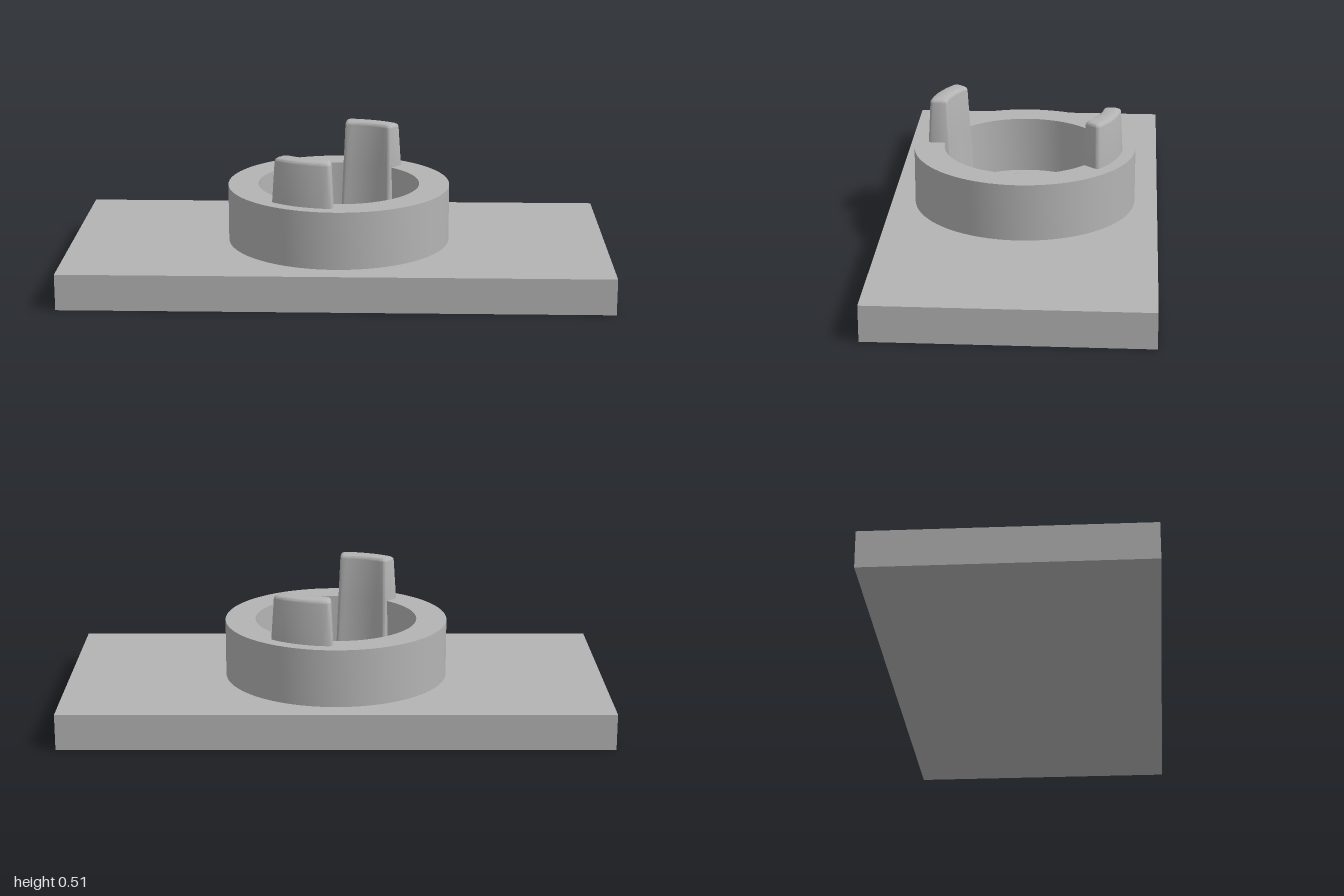
import * as THREE from 'three';
import { toCreasedNormals } from 'three/addons/utils/BufferGeometryUtils.js';

const BASE_TOP = 0.133, RING_TOP = 0.346, TAB_TOP = 0.513;

// Revolve a [radius, y] profile, keeping its corners sharp
function turned(profile) {
  const pts = profile.map(([r, y]) => new THREE.Vector2(r, y));
  return toCreasedNormals(new THREE.LatheGeometry(pts, 96), 0.5);
}

// Rounded-rectangle outline (s along the ring, d outward), counter-clockwise
function tabOutline(inset) {
  const hs = 0.111 - inset, hd = 0.04 - inset, r = 0.013;
  const pts = [];
  const corners = [[1, 1], [-1, 1], [-1, -1], [1, -1]];
  corners.forEach(([cs, cd], q) => {
    for (let i = 0; i <= 4; i++) {
      const a = (q + i / 4) * Math.PI / 2;
      pts.push([cs * (hs - r) + r * Math.cos(a), cd * (hd - r) + r * Math.sin(a)]);
    }
    // Subdivide the long edges so that they follow the ring
    if (q % 2 === 0) {
      for (let i = 1; i < 10; i++) pts.push([cs * (hs - r) * (1 - i / 5), cd * hd]);
    }
  });
  return pts;
}

// Curved, drafted tab with a softened top, lofted from cross-sections
function tabGeometry() {
  const levels = [[BASE_TOP, -0.01], [RING_TOP, 0], [TAB_TOP - 0.014, 0.007]];
  for (let i = 1; i <= 4; i++) {
    const a = i / 4 * Math.PI / 2;
    levels.push([TAB_TOP - 0.014 * (1 - Math.sin(a)), 0.007 + 0.014 * (1 - Math.cos(a))]);
  }
  const pos = [], idx = [], mid = 21.4 * Math.PI / 180, radius = 0.327;
  const add = (s, d, y) => {
    const a = mid + s / radius;
    pos.push((radius + d) * Math.sin(a), y, -(radius + d) * Math.cos(a));
  };
  let n = 0;
  for (const [y, inset] of levels) {
    const loop = tabOutline(inset);
    n = loop.length;
    loop.forEach(([s, d]) => add(s, d, y));
  }
  add(0, 0, TAB_TOP);
  const last = levels.length - 1, centre = levels.length * n;
  for (let i = 0; i < n; i++) {
    const j = (i + 1) % n;
    for (let l = 0; l < last; l++) {
      const a = l * n + i, b = l * n + j;
      idx.push(a, b, b + n, a, b + n, a + n);
    }
    idx.push(last * n + i, last * n + j, centre);
  }
  const g = new THREE.BufferGeometry();
  g.setAttribute('position', new THREE.Float32BufferAttribute(pos, 3));
  g.setIndex(idx);
  return toCreasedNormals(g, 0.6);
}

export function createModel() {
  const model = new THREE.Group();
  model.name = 'bayonetMount';
  const grey = new THREE.MeshStandardMaterial({ color: 0xb4b4b4 });
  grey.name = 'plainGrey';
  const add = (name, geometry) => {
    const mesh = new THREE.Mesh(geometry, grey);
    mesh.name = name;
    model.add(mesh);
    return mesh;
  };

  // Rectangular plate
  add('basePlate', new THREE.BoxGeometry(2, BASE_TOP, 1)).position.y = BASE_TOP / 2;

  // Raised circular wall
  add('ringWall', turned([[0.415, BASE_TOP], [0.415, RING_TOP], [0.302, RING_TOP], [0.302, BASE_TOP]]));

  // Low round boss with a softened rim in the middle of the ring
  const boss = [[0.107, BASE_TOP], [0.104, 0.188]];
  for (let i = 1; i <= 4; i++) {
    const a = i / 4 * Math.PI / 2;
    boss.push([0.09 + 0.014 * Math.cos(a), 0.188 + 0.014 * Math.sin(a)]);
  }
  boss.push([0, 0.202]);
  add('centreBoss', turned(boss));

  // Two opposite tabs
  const tab = tabGeometry();
  add('backTab', tab);
  add('frontTab', tab).rotation.y = Math.PI;

  return model;
}
